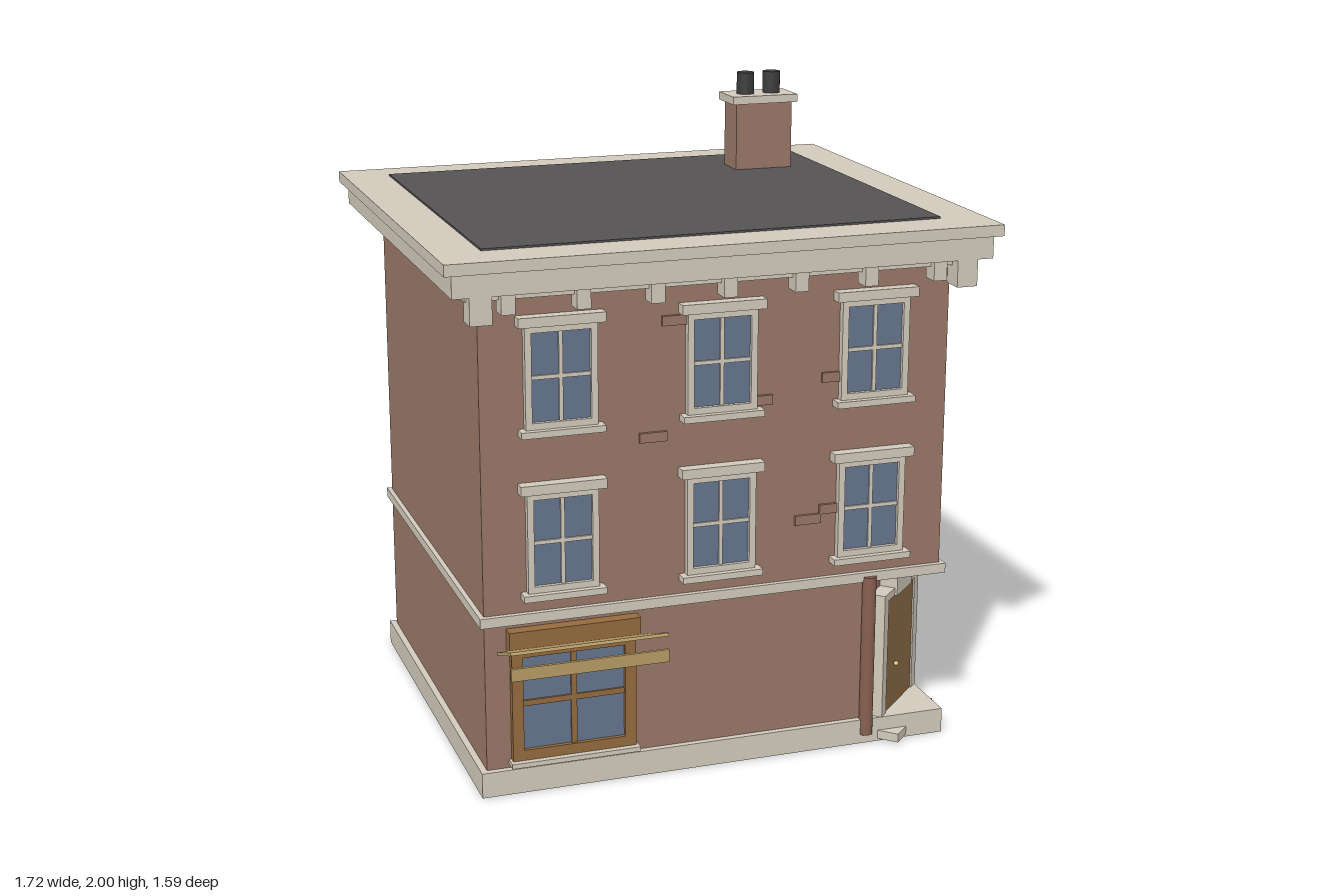
import * as THREE from 'three';

const mat = (color) => new THREE.MeshStandardMaterial({ color });
const M = {
  brick: mat(0x9a7768), pilaster: mat(0x87604f), trim: mat(0xd2cabb), roof: mat(0x545252),
  glass: mat(0x66758e), door: mat(0x8a6a45), wood: mat(0x946b3f), awning: mat(0xb89d66),
  pot: mat(0x3c3c3e), brass: mat(0xd9c58a),
};

// Box given by its extents on each axis
function box(parent, name, material, [x0, x1], [y0, y1], [z0, z1]) {
  const mesh = new THREE.Mesh(new THREE.BoxGeometry(x1 - x0, y1 - y0, z1 - z0), material);
  mesh.position.set((x0 + x1) / 2, (y0 + y1) / 2, (z0 + z1) / 2);
  mesh.name = name;
  parent.add(mesh);
  return mesh;
}

function cylinder(parent, name, material, r, y0, y1, x, z) {
  const mesh = new THREE.Mesh(new THREE.CylinderGeometry(r, r, y1 - y0, 20), material);
  mesh.position.set(x, (y0 + y1) / 2, z);
  mesh.name = name;
  parent.add(mesh);
}

// Glazed opening: pane, surrounding frame and a cross of glazing bars
function glazing(parent, material, w, y0, y1, f, bar, z) {
  const h = w / 2, mid = (y0 + y1) / 2;
  box(parent, 'glass', M.glass, [-h, h], [y0, y1], [z, z + 0.012]);
  for (const s of [-1, 1]) {
    const x = s * (h + f / 2);
    box(parent, 'jamb', material, [x - f / 2, x + f / 2], [y0 - f, y1 + f], [z, z + 0.025]);
  }
  box(parent, 'headRail', material, [-h, h], [y1, y1 + f], [z, z + 0.025]);
  box(parent, 'bottomRail', material, [-h, h], [y0 - f, y0], [z, z + 0.025]);
  box(parent, 'verticalBar', material, [-bar, bar], [y0, y1], [z, z + 0.018]);
  box(parent, 'horizontalBar', material, [-h, h], [mid - bar, mid + bar], [z, z + 0.018]);
}

function sashWindow(x, y) {
  const g = new THREE.Group();
  g.name = 'sashWindow';
  g.position.set(x, y, 0);
  glazing(g, M.trim, 0.18, 0.04, 0.31, 0.02, 0.006, 0.598);
  box(g, 'lintel', M.trim, [-0.132, 0.132], [0.33, 0.36], [0.595, 0.638]);
  box(g, 'sill', M.trim, [-0.128, 0.128], [0, 0.02], [0.595, 0.642]);
  return g;
}

function shopWindow() {
  const g = new THREE.Group();
  g.name = 'shopWindow';
  g.position.x = -0.468;
  glazing(g, M.wood, 0.32, 0.14, 0.44, 0.035, 0.009, 0.598);
  box(g, 'header', M.wood, [-0.205, 0.205], [0.465, 0.53], [0.595, 0.64]);
  box(g, 'shopSill', M.trim, [-0.203, 0.203], [0.092, 0.107], [0.595, 0.642]);
  // Canopy board tipped upwards away from the wall, with a hanging valance
  const len = Math.hypot(0.16, 0.062);
  const canopy = box(g, 'awning', M.awning, [-0.242, 0.242], [-0.005, 0.005], [-len / 2, len / 2]);
  canopy.position.set(0, 0.498, 0.712);
  canopy.rotation.x = -Math.atan2(0.062, 0.16);
  box(g, 'valance', M.awning, [-0.242, 0.242], [0.443, 0.482], [0.785, 0.795]);
  return g;
}

// Entrance set across the cut corner, facing diagonally outwards
function cornerDoor() {
  const g = new THREE.Group();
  g.name = 'cornerDoor';
  g.position.set(0.62, 0, 0.48);
  g.rotation.y = Math.PI / 4;
  box(g, 'door', M.door, [-0.115, 0.115], [0.08, 0.465], [-0.01, 0.045]);
  for (const s of [-1, 1]) {
    const x = s * 0.133;
    box(g, 'doorJamb', M.trim, [x - 0.018, x + 0.018], [0.08, 0.49], [-0.01, 0.05]);
  }
  box(g, 'doorHead', M.trim, [-0.115, 0.115], [0.465, 0.49], [-0.01, 0.05]);
  box(g, 'keystone', M.trim, [-0.066, 0.066], [0.465, 0.545], [-0.01, 0.058]);
  box(g, 'doorstep', M.trim, [-0.158, 0.158], [0.008, 0.036], [-0.1, 0.11]);
  const knob = new THREE.Mesh(new THREE.SphereGeometry(0.008, 12, 8), M.brass);
  knob.name = 'doorKnob';
  knob.position.set(-0.042, 0.225, 0.053);
  g.add(knob);
  return g;
}

export function createModel() {
  const house = new THREE.Group();
  house.name = 'townhouse';

  // Plinth, ground floor with its cut corner, and upper storeys
  box(house, 'plinth', M.trim, [-0.76, 0.76], [0, 0.08], [-0.69, 0.62]);
  const plan = new THREE.Shape([[-0.74, -0.6], [0.5, -0.6], [0.74, -0.36], [0.74, 0.67], [-0.74, 0.67]]
    .map(([x, y]) => new THREE.Vector2(x, y)));
  const ground = new THREE.Mesh(
    new THREE.ExtrudeGeometry(plan, { depth: 0.47, bevelEnabled: false }), M.brick);
  ground.rotation.x = -Math.PI / 2;
  ground.position.y = 0.08;
  ground.name = 'groundFloor';
  house.add(ground);
  box(house, 'upperFloors', M.brick, [-0.74, 0.74], [0.56, 1.56], [-0.67, 0.6]);
  box(house, 'stringCourse', M.trim, [-0.755, 0.755], [0.545, 0.576], [-0.685, 0.617]);

  // Corner pilasters and entrance
  cylinder(house, 'pilaster', M.pilaster, 0.022, 0.03, 0.562, 0.497, 0.613);
  cylinder(house, 'pilaster', M.pilaster, 0.022, 0.03, 0.562, 0.748, 0.358);
  house.add(cornerDoor(), shopWindow());

  // Two rows of sash windows
  for (const y of [0.62, 1.125]) {
    for (const x of [-0.497, 0, 0.492]) house.add(sashWindow(x, y));
  }

  // Stray projecting bricks: left, right, bottom
  for (const [x0, x1, y] of [[-0.185, -0.1, 1.42], [0.08, 0.165, 1.15], [0.325, 0.41, 1.203],
    [-0.255, -0.17, 1.068], [0.245, 0.33, 0.755], [0.325, 0.41, 0.783]]) {
    box(house, 'looseBrick', M.brick, [x0, x1], [y, y + 0.03], [0.59, 0.61]);
  }

  // Stepped cornice with brackets along the front
  box(house, 'corniceBed', M.trim, [-0.79, 0.79], [1.55, 1.572], [-0.725, 0.66]);
  box(house, 'corniceBand', M.trim, [-0.835, 0.835], [1.57, 1.64], [-0.765, 0.698]);
  box(house, 'corniceTop', M.trim, [-0.86, 0.86], [1.64, 1.675], [-0.79, 0.717]);
  for (let i = -3; i <= 3; i++) {
    const x = i * 0.223;
    box(house, 'smallBracket', M.trim, [x - 0.021, x + 0.021], [1.51, 1.572], [0.628, 0.685]);
  }
  for (const s of [-1, 1]) {
    const x = s * 0.752;
    box(house, 'endBracket', M.trim, [x - 0.033, x + 0.033], [1.488, 1.572], [0.628, 0.698]);
  }

  // Flat roof and chimney
  box(house, 'roof', M.roof, [-0.717, 0.717], [1.66, 1.681], [-0.655, 0.572]);
  box(house, 'chimneyStack', M.brick, [0.405, 0.602], [1.67, 1.905], [-0.473, -0.36]);
  box(house, 'chimneyCap', M.trim, [0.388, 0.618], [1.902, 1.928], [-0.488, -0.348]);
  for (const x of [0.457, 0.55]) cylinder(house, 'chimneyPot', M.pot, 0.029, 1.925, 2, x, -0.418);

  return house;
}
